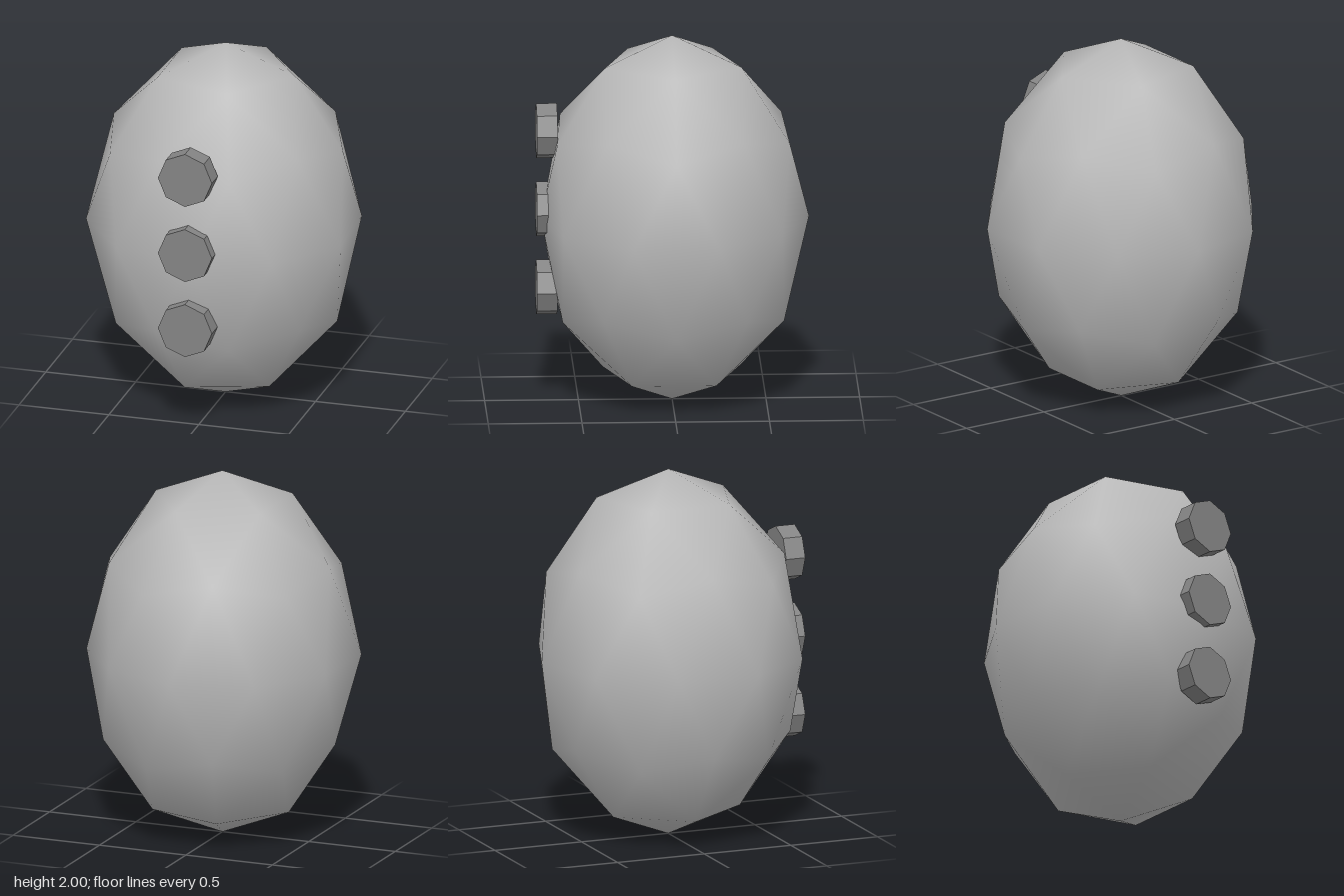
import * as THREE from 'three';
import { mergeVertices } from 'three/addons/utils/BufferGeometryUtils.js';

// Faceted egg-shaped body: an icosphere with a vertex at each pole
function bodyGeometry() {
  const ball = new THREE.IcosahedronGeometry(1, 1);
  ball.deleteAttribute('uv');
  ball.deleteAttribute('normal');
  ball.rotateX(-Math.atan((1 + Math.sqrt(5)) / 2));
  ball.rotateY(Math.PI / 2);
  const geometry = mergeVertices(ball, 1e-3);

  // Slightly uneven radii of the ten equator corners, from +x towards +z
  const equator = [0.745, 0.738, 0.7, 0.736, 0.744, 0.727, 0.744, 0.73, 0.71, 0.727];
  const pos = geometry.attributes.position;
  for (let i = 0; i < pos.count; i++) {
    const x = pos.getX(i), y = pos.getY(i), z = pos.getZ(i);
    let radius = 0.73;
    if (Math.abs(y) < 0.05) {
      const step = Math.round((Math.atan2(z, x) / Math.PI) * 5 - 0.5);
      radius = equator[(step + 10) % 10];
    }
    pos.setXYZ(i, x * radius, y + 1, z * radius);
  }
  geometry.computeVertexNormals();
  return geometry;
}

export function createModel() {
  const model = new THREE.Group();
  model.name = 'buttonedEgg';

  const bodyGray = new THREE.MeshStandardMaterial({ color: 0xb8b8b8 });
  bodyGray.name = 'bodyGray';
  const buttonGray = new THREE.MeshStandardMaterial({ color: 0x848484 });
  buttonGray.name = 'buttonGray';
  buttonGray.flatShading = true;

  const body = new THREE.Mesh(bodyGeometry(), bodyGray);
  body.name = 'body';
  model.add(body);

  // Three octagonal buttons down the front
  const disc = new THREE.CylinderGeometry(0.15, 0.15, 0.11, 8);
  disc.rotateX(Math.PI / 2);
  ['topButton', 'middleButton', 'bottomButton'].forEach((name, i) => {
    const button = new THREE.Mesh(disc, buttonGray);
    button.name = name;
    button.position.set(-0.01, 1.48 - 0.43 * i, 0.67);
    model.add(button);
  });

  return model;
}
